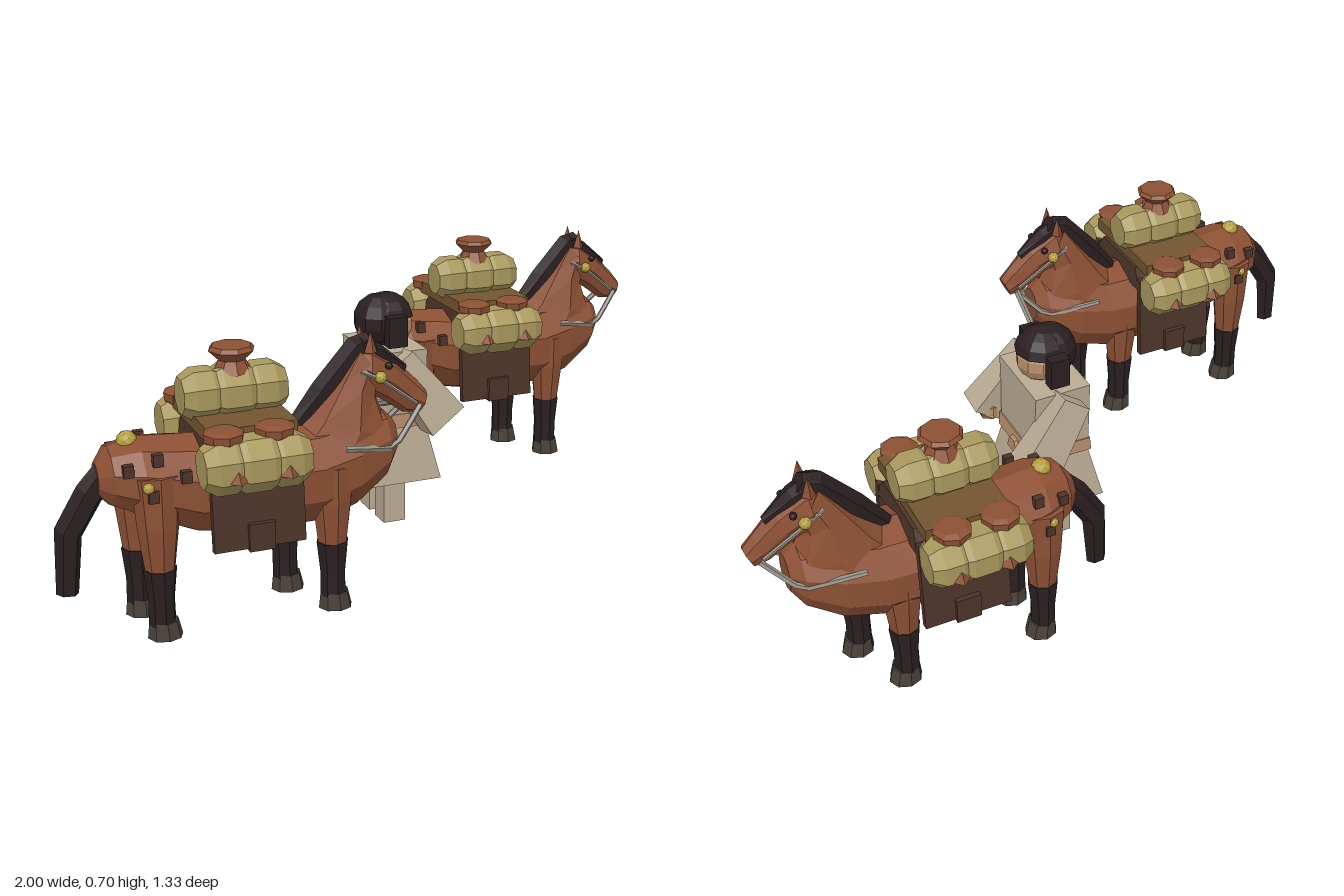
import * as THREE from 'three';

const mat = (name, color) => Object.assign(new THREE.MeshStandardMaterial({ color }), { name });
const M = {
  coat: mat('chestnut', 0x8c5034), dark: mat('dark hair', 0x2a1f21), hoof: mat('hoof', 0x4a4239),
  cloth: mat('linen', 0xb9ab93), skin: mat('skin', 0xb98f6c), pack: mat('canvas', 0xa8985c),
  leather: mat('leather', 0x4d3429), wood: mat('wood', 0x735530), rope: mat('rope', 0x9a958a), gold: mat('gold', 0xb5a040),
};

// Adds a faceted mesh
function add(group, name, geometry, material, x = 0, y = 0, z = 0) {
  const g = geometry.index ? geometry.toNonIndexed() : geometry;
  g.computeVertexNormals();
  const mesh = new THREE.Mesh(g, material);
  mesh.name = name;
  mesh.position.set(x, y, z);
  group.add(mesh);
  return mesh;
}

// Skin through oval rings; each ring is [x1, y1, x2, y2, halfWidth]
function loft(rings, z = 0, n = 8) {
  const pos = [], idx = [];
  for (const [x1, y1, x2, y2, w] of rings) for (let j = 0; j < n; j++) {
    const a = (j / n) * Math.PI * 2, c = Math.cos(a) / 2;
    pos.push((x1 + x2) / 2 + (x1 - x2) * c, (y1 + y2) / 2 + (y1 - y2) * c, z + w * Math.sin(a));
  }
  const last = (rings.length - 1) * n;
  for (let i = 0; i < last; i += n) for (let j = 0; j < n; j++) {
    const k = (j + 1) % n;
    idx.push(i + j, i + k, i + n + k, i + j, i + n + k, i + n + j);
  }
  for (let j = 1; j < n - 1; j++) idx.push(0, j + 1, j, last, last + j, last + j + 1);
  const g = new THREE.BufferGeometry();
  g.setAttribute('position', new THREE.Float32BufferAttribute(pos, 3));
  g.setIndex(idx);
  return g;
}

// Box whose top and bottom differ in size
function taper(topX, topZ, botX, botZ, h) {
  const g = new THREE.BoxGeometry(1, h, 1), p = g.attributes.position;
  for (let i = 0; i < p.count; i++) {
    const top = p.getY(i) > 0;
    p.setX(i, p.getX(i) * (top ? topX : botX));
    p.setZ(i, p.getZ(i) * (top ? topZ : botZ));
  }
  return g;
}

const box = (x, y, z) => new THREE.BoxGeometry(x, y, z);
const ball = (r) => new THREE.IcosahedronGeometry(r, 1);
const lathe = (pts, n = 8) => new THREE.LatheGeometry(pts.map(([r, y]) => new THREE.Vector2(r, y)), n);
const tube = (pts, r = 0.007) => new THREE.TubeGeometry(
  new THREE.CatmullRomCurve3(pts.map((p) => new THREE.Vector3(...p)), false, 'catmullrom', 0.1), 8, r, 5);

// Rolled canvas bundle lying along x, pinched where it is tied
function bundle(r) {
  const g = lathe([[0, -0.13], [r * 0.72, -0.13], [r, -0.1], [r, -0.055], [r * 0.92, -0.045], [r * 1.04, -0.03],
    [r * 1.04, 0.03], [r * 0.92, 0.045], [r, 0.055], [r, 0.1], [r * 0.72, 0.13], [0, 0.13]]);
  return g.rotateX(0).rotateZ(-Math.PI / 2).rotateX(Math.PI / 8);
}

function makeHorse() {
  const h = new THREE.Group();
  h.name = 'packHorse';
  // Body, neck and head
  const body = [[-0.89, 0.4, 0.04, 0.04], [-0.86, 0.405, 0.075, 0.08], [-0.79, 0.395, 0.1, 0.11], [-0.66, 0.36, 0.125, 0.125],
    [-0.5, 0.345, 0.132, 0.13], [-0.35, 0.345, 0.132, 0.125], [-0.25, 0.365, 0.125, 0.112], [-0.16, 0.395, 0.09, 0.08], [-0.13, 0.405, 0.05, 0.045]];
  add(h, 'body', loft(body.map(([x, y, r, w]) => [x, y + r, x, y - r, w]), 0, 10), M.coat);
  add(h, 'neck', loft([[-0.43, 0.43, -0.14, 0.36, 0.1], [-0.365, 0.495, -0.13, 0.42, 0.085],
    [-0.29, 0.58, -0.175, 0.52, 0.06], [-0.235, 0.655, -0.17, 0.58, 0.045]]), M.coat);
  add(h, 'head', loft([[-0.245, 0.65, -0.24, 0.59, 0.03], [-0.195, 0.655, -0.21, 0.535, 0.054], [-0.12, 0.605, -0.155, 0.505, 0.042],
    [-0.06, 0.545, -0.1, 0.465, 0.03], [-0.035, 0.515, -0.06, 0.46, 0.028]]), M.coat);
  // Mane, forelock and tail
  add(h, 'mane', loft([[-0.41, 0.475, -0.35, 0.46, 0.02], [-0.34, 0.57, -0.27, 0.54, 0.035],
    [-0.245, 0.675, -0.2, 0.62, 0.035], [-0.2, 0.685, -0.17, 0.64, 0.025]], 0, 6), M.dark);
  add(h, 'forelock', loft([[-0.22, 0.68, -0.21, 0.63, 0.033], [-0.16, 0.65, -0.17, 0.61, 0.03], [-0.09, 0.59, -0.1, 0.57, 0.012]], 0, 6), M.dark);
  add(h, 'tail', loft([[-0.84, 0.4, -0.87, 0.46, 0.025], [-0.88, 0.34, -0.935, 0.39, 0.034],
    [-0.93, 0.26, -0.995, 0.29, 0.035], [-0.945, 0.115, -1.0, 0.12, 0.022]], 0, 6), M.dark);

  for (const s of [1, -1]) {
    add(h, 'ear', new THREE.ConeGeometry(0.017, 0.055, 4), M.coat, -0.2, 0.67, s * 0.035);
    add(h, 'eye', ball(0.01), M.dark, -0.155, 0.605, s * 0.045);
    add(h, 'bridleRosette', ball(0.016), M.gold, -0.18, 0.58, s * 0.052);
    add(h, 'cheekStrap', tube([[-0.23, 0.6, s * 0.046], [-0.18, 0.575, s * 0.054], [-0.075, 0.495, s * 0.036]], 0.005), M.rope);
    add(h, 'rein', tube([[-0.065, 0.49, s * 0.035], [-0.15, 0.4, s * 0.07], [-0.3, 0.43, s * 0.115]], 0.008), M.rope);
    // Legs: upper limb, dark stocking and hoof
    for (const [name, x, top] of [['hind', -0.77 + s * 0.008, 0.42], ['front', -0.357 + s * 0.037, 0.38]]) {
      const z = s * 0.075, ring = (y, r, w, dx = 0) => [x + dx + r, y, x + dx - r, y, w];
      add(h, name + 'Leg', loft([ring(top, 0.062, 0.045), ring(0.29, 0.052, 0.046), ring(0.165, 0.036, 0.035)], z), M.coat);
      add(h, name + 'Stocking', loft([ring(0.18, 0.042, 0.038), ring(0.1, 0.033, 0.035), ring(0.035, 0.034, 0.036)], z), M.dark);
      add(h, name + 'Hoof', loft([ring(0.045, 0.036, 0.037, 0.003), ring(0, 0.044, 0.04, 0.006)], z), M.hoof);
    }
    // Saddle flap, pouch and side load
    add(h, 'saddleFlap', box(0.23, 0.25, 0.02), M.leather, -0.535, 0.355, s * 0.142).rotation.x = -s * 0.08;
    add(h, 'pouch', box(0.065, 0.07, 0.02), M.leather, -0.533, 0.26, s * 0.16);
    add(h, 'sideBundle', bundle(0.068), M.pack, -0.552, 0.457, s * 0.182);
    for (const x of [-0.622, -0.497]) {
      add(h, 'sidePot', lathe([[0.03, -0.03], [0.048, 0], [0.05, 0.018], [0.035, 0.025], [0, 0.025]]), M.coat, x, 0.518, s * 0.168);
      add(h, 'packTie', new THREE.ConeGeometry(0.03, 0.04, 4), M.coat, x + 0.01, 0.455, s * 0.235);
    }
    // Rump harness
    for (const [x, y, z] of [[-0.83, 0.44, 0.085], [-0.76, 0.46, 0.09], [-0.7, 0.42, 0.118], [-0.78, 0.38, 0.115]])
      add(h, 'harnessTab', box(0.025, 0.03, 0.018), M.leather, x, y, s * z);
    add(h, 'harnessStud', ball(0.014), M.gold, -0.79, 0.4, s * 0.112);
  }
  // Saddle, rack and top load
  add(h, 'saddle', taper(0.22, 0.2, 0.23, 0.28, 0.06), M.leather, -0.535, 0.475, 0);
  add(h, 'packRack', box(0.22, 0.035, 0.31), M.wood, -0.545, 0.52, 0);
  add(h, 'topBundle', bundle(0.066), M.pack, -0.547, 0.58, 0);
  add(h, 'topPot', lathe([[0, -0.01], [0.05, -0.01], [0.033, 0.02], [0.058, 0.045], [0.05, 0.055], [0, 0.055]]), M.coat, -0.545, 0.637, 0);
  add(h, 'rumpOrnament', ball(0.026), M.gold, -0.81, 0.485, 0);
  return h;
}

function makeHandler() {
  const p = new THREE.Group();
  p.name = 'handler';
  // Robe, sash and skirt
  add(p, 'torso', taper(0.16, 0.23, 0.165, 0.21, 0.19), M.cloth, 0, 0.415, 0);
  add(p, 'sash', taper(0.172, 0.217, 0.18, 0.217, 0.04), M.skin, 0, 0.307, 0);
  add(p, 'skirt', taper(0.165, 0.205, 0.245, 0.245, 0.16), M.cloth, 0, 0.207, 0);
  add(p, 'sashKnot', taper(0.02, 0.03, 0.02, 0.06, 0.04), M.skin, 0.09, 0.29, 0);
  for (const s of [1, -1]) {
    add(p, 'leg', box(0.065, 0.14, 0.068), M.cloth, -0.005, 0.07, s * 0.054);
    const sleeve = add(p, 'sleeve', taper(0.085, 0.06, 0.12, 0.085, 0.22), M.cloth, 0.045, 0.405, s * 0.145);
    sleeve.rotation.set(-s * 0.12, 0, 0.62);
    add(p, 'hand', new THREE.IcosahedronGeometry(0.038, 0), M.skin, 0.105, 0.325, s * 0.14);
    add(p, 'sideHair', box(0.055, 0.085, 0.034), M.dark, 0, 0.56, s * 0.083);
  }
  // Head and hair
  add(p, 'neck', new THREE.CylinderGeometry(0.035, 0.04, 0.04, 8), M.skin, 0, 0.51, 0);
  add(p, 'head', new THREE.SphereGeometry(0.068, 10, 7), M.skin, 0.012, 0.562, 0);
  add(p, 'hair', new THREE.SphereGeometry(0.075, 10, 7), M.dark, -0.015, 0.576, 0);
  add(p, 'fringe', new THREE.SphereGeometry(0.077, 10, 4, 0, Math.PI * 2, 0, Math.PI * 0.45), M.dark, 0.006, 0.575, 0);
  return p;
}

export function createModel() {
  const model = new THREE.Group();
  const rear = makeHorse(), lead = makeHorse();
  rear.position.z = 0.4;
  lead.position.set(1, 0, -0.4);
  lead.position.x = 1.0;
  // Shift the pair so the group spans x from -1 to 1
  lead.position.x += 0.03;
  const handler = makeHandler();
  handler.position.set(0.045, 0, -0.057);
  model.add(rear, lead, handler);
  add(model, 'leadRope', tube([[-0.07, 0.485, 0.365], [-0.055, 0.4, 0.14], [-0.035, 0.39, 0.04]], 0.009), M.rope);
  return model;
}
